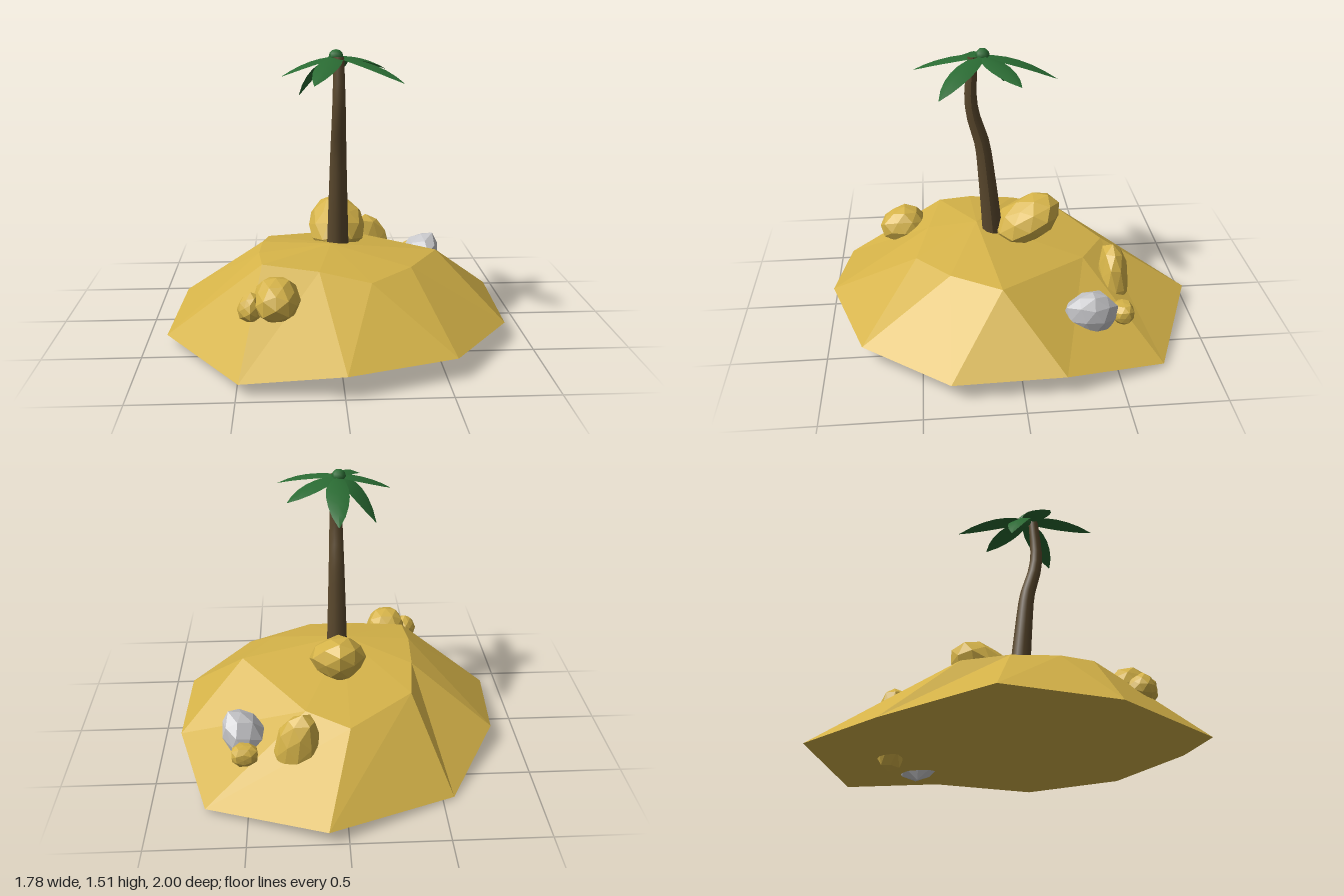
import * as THREE from 'three';

const sand = new THREE.MeshStandardMaterial({ color: 0xd4b248 });
const bark = new THREE.MeshStandardMaterial({ color: 0x5a482d });
const leafGreen = new THREE.MeshStandardMaterial({ color: 0x2a6b33, side: THREE.DoubleSide });
const stone = new THREE.MeshStandardMaterial({ color: 0xc6c6c9 });

function mesh(name, geometry, material) {
  const m = new THREE.Mesh(geometry, material);
  m.name = name;
  return m;
}

// Faceted mound: low rim, shoulder ring, summit and a nearly flat underside
function islandGeometry() {
  const rim = [
    [0.10, 0.08, -1.0], [0.72, 0.03, -0.74], [0.89, 0.12, -0.21], [0.88, 0.10, 0.36], [0.55, 0.11, 0.81],
    [0.01, 0.12, 1.0], [-0.49, 0.06, 0.93], [-0.89, 0.06, 0.34], [-0.84, 0.11, -0.21], [-0.56, 0.015, -0.69],
  ];
  const ring = [
    [-0.03, 0.35, -0.53], [0.2, 0.37, -0.39], [0.55, 0.42, 0.08], [0.38, 0.41, 0.34], [0.16, 0.39, 0.52],
    [-0.1, 0.43, 0.45], [-0.39, 0.45, 0.38], [-0.41, 0.455, 0.2], [-0.4, 0.44, -0.05], [-0.37, 0.4, -0.29],
  ];
  const summit = [-0.03, 0.495, 0.18];
  const under = [0, 0.09, 0];
  const points = [];
  rim.forEach((a, i) => {
    const j = (i + 1) % rim.length;
    points.push(summit, ring[j], ring[i]);
    points.push(ring[i], ring[j], rim[j], ring[i], rim[j], a);
    points.push(under, a, rim[j]);
  });
  const g = new THREE.BufferGeometry();
  g.setAttribute('position', new THREE.Float32BufferAttribute(points.flat(), 3));
  g.computeVertexNormals();
  return g;
}

// Chiselled boulder: a flat-faced ball whose corners move in or out by a repeatable rule
function rock(name, material, centre, half, tilt = [0, 0, 0], seed = 1) {
  const g = new THREE.IcosahedronGeometry(1, 1);
  const p = g.attributes.position;
  const v = new THREE.Vector3();
  for (let i = 0; i < p.count; i++) {
    v.fromBufferAttribute(p, i);
    const wobble = Math.sin(v.x * 5.1 + seed * 2.3) + Math.sin(v.y * 4.3 + seed) + Math.sin(v.z * 4.7 - seed * 1.7);
    v.multiplyScalar(1 + 0.045 * wobble);
    p.setXYZ(i, v.x * half[0], v.y * half[1], v.z * half[2]);
  }
  g.computeVertexNormals();
  const m = mesh(name, g, material);
  m.position.set(...centre);
  m.rotation.set(...tilt);
  return m;
}

// Bent tube that narrows towards the top
function trunkGeometry() {
  const path = [[0.4, 0.09], [0.48, 0.095], [0.78, 0.12], [1.0, 0.145], [1.14, 0.185], [1.25, 0.2], [1.48, 0.185]];
  const curve = new THREE.CatmullRomCurve3(path.map(([y, z]) => new THREE.Vector3(0.012, y, z)));
  const steps = 16, sides = 10;
  const g = new THREE.TubeGeometry(curve, steps, 1, sides);
  const p = g.attributes.position;
  const v = new THREE.Vector3();
  for (let i = 0; i < p.count; i++) {
    const t = Math.floor(i / (sides + 1)) / steps;
    const c = curve.getPointAt(t);
    v.fromBufferAttribute(p, i).sub(c).multiplyScalar(0.06 - 0.033 * t).add(c);
    p.setXYZ(i, v.x, v.y, v.z);
  }
  g.computeVertexNormals();
  return g;
}

// Drooping pointed leaf with a raised rib, from the crown to the given tip
function frondGeometry(tip) {
  const crown = [0.01, 1.48, 0.14];
  const widths = [0.025, 0.045, 0.058, 0.06, 0.052, 0.034, 0.002];
  const dx = tip[0] - crown[0], dz = tip[2] - crown[2];
  const length = Math.hypot(dx, dz);
  const points = [], index = [];
  widths.forEach((w, i) => {
    const t = i / (widths.length - 1);
    const y = crown[1] + (tip[1] - crown[1]) * t * t;
    for (const s of [-1, 0, 1]) {
      points.push(
        crown[0] + dx * t - (dz / length) * w * s,
        y - (s ? w * 0.25 : 0),
        crown[2] + dz * t + (dx / length) * w * s,
      );
    }
    if (i === 0) return;
    const b = i * 3, a = b - 3;
    for (const k of [0, 1]) index.push(a + k, a + k + 1, b + k, a + k + 1, b + k + 1, b + k);
  });
  const g = new THREE.BufferGeometry();
  g.setAttribute('position', new THREE.Float32BufferAttribute(points, 3));
  g.setIndex(index);
  g.computeVertexNormals();
  return g;
}

export function createModel() {
  const model = new THREE.Group();
  model.name = 'palmIsland';
  model.add(mesh('island', islandGeometry(), sand));

  // Boulders
  model.add(
    rock('trunkRock', sand, [0.012, 0.52, -0.1], [0.155, 0.13, 0.19], [0.5, 0, 0], 1),
    rock('frontRock', sand, [-0.315, 0.335, 0.59], [0.115, 0.12, 0.14], [0, 0, 0], 2),
    rock('frontPebble', sand, [-0.44, 0.305, 0.61], [0.062, 0.075, 0.075], [0, 0, 0], 3),
    rock('backRock', sand, [0.245, 0.225, -0.55], [0.125, 0.225, 0.088], [0, 0, 0.12], 4),
    rock('backPebble', sand, [0.52, 0.225, -0.555], [0.075, 0.06, 0.06], [0, 0, 0], 5),
    rock('greyRock', stone, [0.51, 0.2, -0.385], [0.11, 0.195, 0.148], [0, 0, -0.5], 6),
  );

  // Palm tree
  const palm = new THREE.Group();
  palm.name = 'palmTree';
  palm.add(mesh('trunk', trunkGeometry(), bark));
  const tips = [
    [0.015, 1.345, -0.25], [0.27, 1.4, 0.04 - 0.08], [0.325, 1.365, 0.365],
    [-0.12, 1.37, 0.49], [-0.28, 1.385, 0.205], [-0.19, 1.265, 0.01],
  ];
  tips.forEach((tip, i) => palm.add(mesh('frond' + (i + 1), frondGeometry(tip), leafGreen)));
  const bud = mesh('crownBud', new THREE.SphereGeometry(0.038, 8, 6), leafGreen);
  bud.position.set(0, 1.478, 0.135);
  palm.add(bud);
  model.add(palm);
  return model;
}
